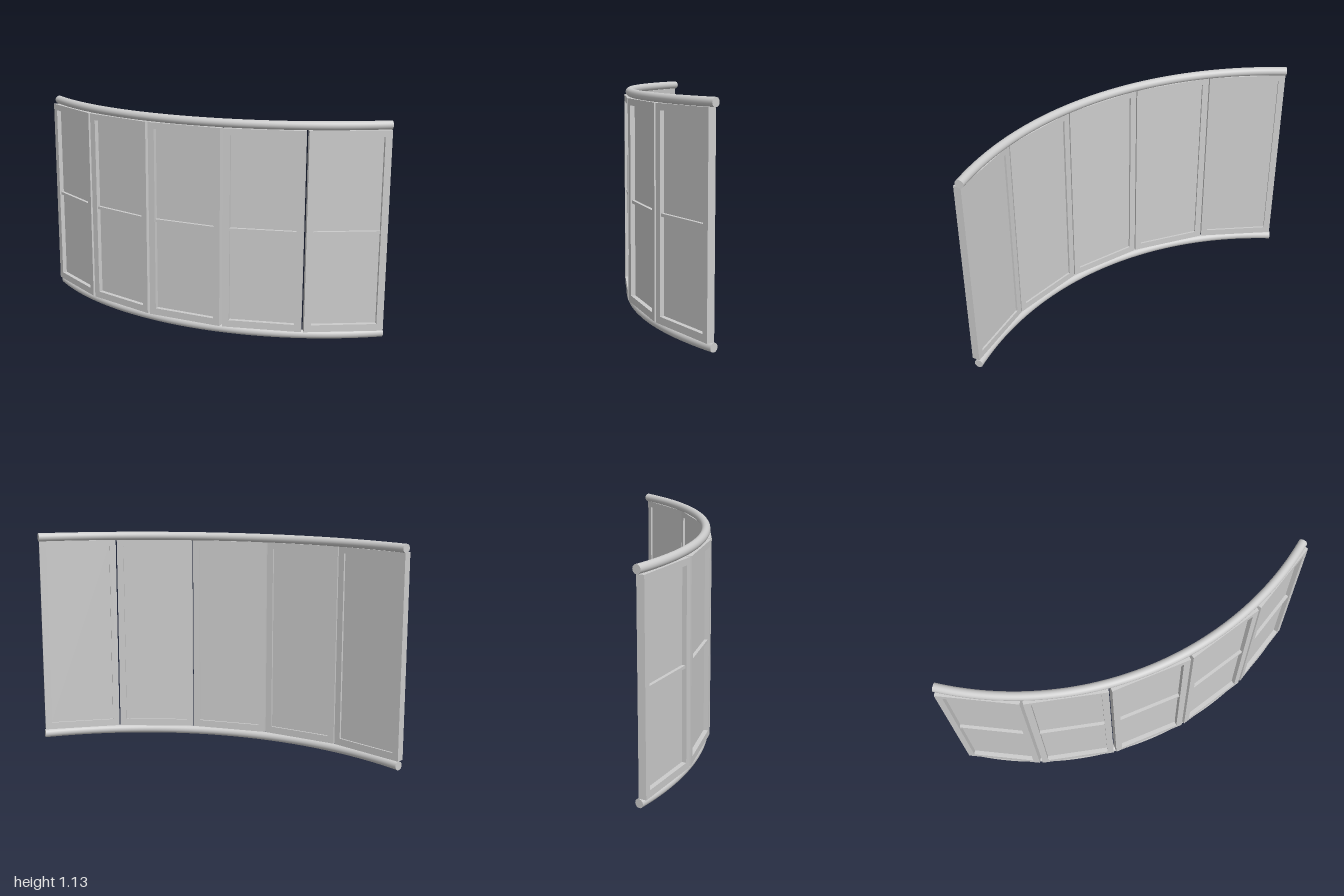
import * as THREE from 'three';

const R = 1.633;               // radius of the bow
const CZ = 0.158 - R;          // z of the bow's centre
const SPAN = 2 * Math.asin(0.975 / R);
const COUNT = 5;
const TUBE = 0.0225;

const W = 0.41, Y0 = 0.045, Y1 = 1.09, DEPTH = 0.04;   // casement
const OW = 0.34, OY0 = 0.082, OY1 = 1.057;             // its opening

function rect(path, w, y0, y1) {
  path.moveTo(-w / 2, y0);
  path.lineTo(w / 2, y0);
  path.lineTo(w / 2, y1);
  path.lineTo(-w / 2, y1);
  path.closePath();
  return path;
}

function box(name, w, h, d, y, z, material) {
  const mesh = new THREE.Mesh(new THREE.BoxGeometry(w, h, d), material);
  mesh.name = name;
  mesh.position.set(0, y, z);
  return mesh;
}

// Curved round rail with flat end caps
function makeRail(name, y, material) {
  const rail = new THREE.Group();
  rail.name = name;
  const arc = new THREE.TorusGeometry(R, TUBE, 20, 64, SPAN);
  arc.rotateZ(Math.PI / 2 - SPAN / 2);
  arc.rotateX(Math.PI / 2);
  const tube = new THREE.Mesh(arc, material);
  tube.name = name + 'Tube';
  rail.add(tube);
  for (const side of [-1, 1]) {
    const a = side * SPAN / 2;
    const cap = new THREE.Mesh(new THREE.CircleGeometry(TUBE, 20), material);
    cap.name = name + 'EndCap';
    cap.position.set(R * Math.sin(a), 0, R * Math.cos(a));
    cap.rotation.y = a + side * Math.PI / 2;
    rail.add(cap);
  }
  rail.position.set(0, y, CZ);
  return rail;
}

// Flat casement: frame, recessed pane and a crossbar on the outside
function makeCasement(material) {
  const casement = new THREE.Group();
  const shape = rect(new THREE.Shape(), W, Y0, Y1);
  shape.holes.push(rect(new THREE.Path(), OW, OY0, OY1));
  const frame = new THREE.Mesh(
    new THREE.ExtrudeGeometry(shape, { depth: DEPTH, bevelEnabled: false }), material);
  frame.name = 'casementFrame';
  const midY = (OY0 + OY1) / 2;
  casement.add(
    frame,
    box('pane', OW, OY1 - OY0, 0.006, midY, 0.013, material),
    box('crossbar', OW, 0.015, 0.017, midY, 0.0245, material));
  return casement;
}

export function createModel() {
  const model = new THREE.Group();
  model.name = 'bowWindow';
  const grey = new THREE.MeshStandardMaterial({ color: 0xcccccc });
  grey.name = 'light grey';

  model.add(makeRail('bottomRail', TUBE, grey), makeRail('topRail', 1.111, grey));

  // Casements spaced evenly round the bow
  for (let i = 0; i < COUNT; i++) {
    const a = (i - (COUNT - 1) / 2) * SPAN / COUNT;
    const casement = makeCasement(grey);
    casement.name = 'casement' + (i + 1);
    casement.position.set(1.616 * Math.sin(a), 0, CZ + 1.616 * Math.cos(a));
    casement.rotation.y = a;
    model.add(casement);
  }
  return model;
}
